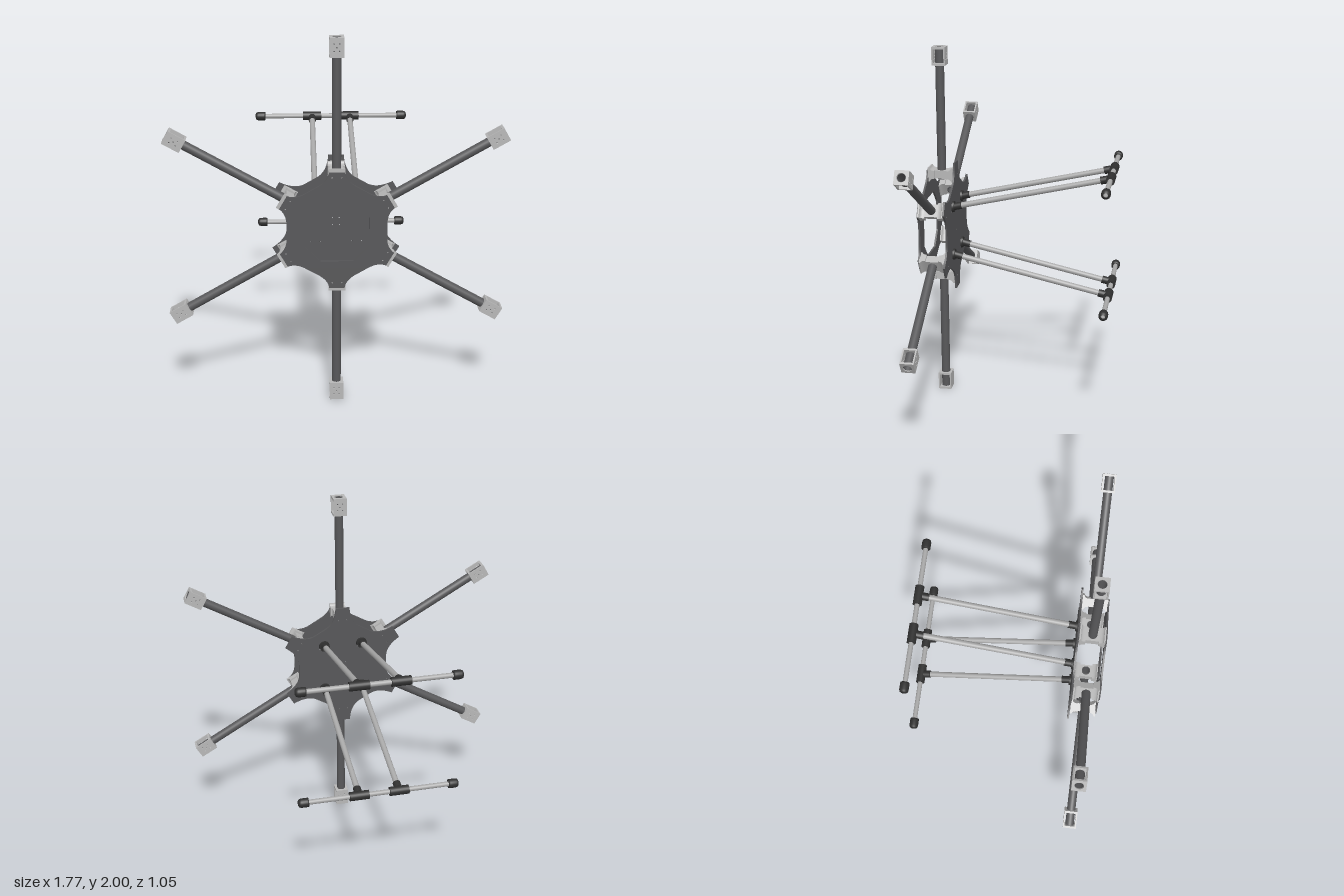
import * as THREE from 'three';

const mat = (color) => new THREE.MeshStandardMaterial({ color, side: THREE.DoubleSide });
const DARK = mat(0x58585a), BLACK = mat(0x303030), LIGHT = mat(0xb8b8b8), ROD = mat(0xa8a8a8);

function mesh(name, geometry, material, x = 0, y = 0, z = 0) {
  const m = new THREE.Mesh(geometry, material);
  m.name = name;
  m.position.set(x, y, z);
  return m;
}

const extrude = (shape, depth) =>
  new THREE.ExtrudeGeometry(shape, { depth, bevelEnabled: false, curveSegments: 12 }).translate(0, 0, -depth / 2);

const hole = (shape, x, y, r) => shape.holes.push(new THREE.Path().absarc(x, y, r, 0, Math.PI * 2, true));

function rectShape(w, h) {
  return new THREE.Shape([[-w, -h], [w, -h], [w, h], [-w, h]].map(([x, y]) => new THREE.Vector2(x / 2, y / 2)));
}

// Hollow tube along y, centred
function tube(outer, inner, length) {
  const h = length / 2;
  const pts = [[inner, -h], [outer, -h], [outer, -h], [outer, h], [outer, h], [inner, h], [inner, h], [inner, -h]];
  return new THREE.LatheGeometry(pts.map(([r, y]) => new THREE.Vector2(r, y)), 24);
}

// Six-sided plate with a tab at every arm and concave fillets beside the tabs
function plateShape(tip) {
  const s = new THREE.Shape();
  const up = new THREE.Vector2();
  for (let k = 0; k < 6; k++) {
    const at = (x, y) => {
      up.set(x, y).rotateAround(new THREE.Vector2(), (k * Math.PI) / 3);
      return [up.x, up.y];
    };
    if (k === 0) s.moveTo(...at(0.1, 0.242));
    else s.lineTo(...at(0.1, 0.242));
    s.quadraticCurveTo(...at(0.046, 0.272), ...at(0.04, tip));
    s.lineTo(...at(-0.04, tip));
    s.quadraticCurveTo(...at(-0.046, 0.272), ...at(-0.1, 0.242));
    // screw holes over the clamp
    for (const x of [-0.025, 0.025]) hole(s, ...at(x, 0.29), 0.004);
  }
  s.closePath();
  return s;
}

function makeBody() {
  const body = new THREE.Group();
  body.name = 'body';
  const front = plateShape(0.318);
  const a = 0.166, b = 0.085;
  front.holes.push(new THREE.Path([[a, -b], [b, -a], [-b, -a], [-a, -b], [-a, b], [-b, a], [b, a], [a, b]]
    .map(([x, y]) => new THREE.Vector2(x, y))));
  body.add(mesh('frontPlate', extrude(front, 0.01), DARK, 0, 0, 0.52));

  const back = plateShape(0.365);
  for (const x of [-1, 1]) for (const y of [-1, 1]) {
    hole(back, x * 0.018, y * 0.02, 0.004);
    hole(back, x * 0.085, y * 0.115, 0.004);
    hole(back, x * 0.135, y * 0.115, 0.004);
  }
  body.add(mesh('backPlate', extrude(back, 0.01), DARK, 0, 0, 0.37));
  return body;
}

// Clamp block with a bore, and concave feet against both plates
function makeClamp() {
  const clamp = new THREE.Group();
  clamp.name = 'armClamp';
  const core = rectShape(0.07, 0.138);
  hole(core, 0, 0, 0.023);
  clamp.add(mesh('clampBlock', extrude(core, 0.045).rotateX(-Math.PI / 2), LIGHT, 0, 0.295, 0));
  const foot = new THREE.Shape();
  foot.moveTo(-0.07, -0.04);
  foot.lineTo(-0.07, 0.04);
  foot.lineTo(-0.062, 0.04);
  foot.quadraticCurveTo(-0.058, 0.023, -0.035, 0.0225);
  foot.lineTo(-0.035, -0.0225);
  foot.quadraticCurveTo(-0.058, -0.023, -0.062, -0.04);
  foot.closePath();
  for (const side of [0, Math.PI]) {
    const g = extrude(foot, 0.088).rotateY(-Math.PI / 2).rotateY(side);
    clamp.add(mesh('clampFoot', g, LIGHT, 0, 0.295, 0));
  }
  return clamp;
}

// Open-sided motor mount: two drilled faces joined by two bored ends
function makeMount() {
  const mount = new THREE.Group();
  mount.name = 'motorMount';
  const face = rectShape(0.074, 0.1);
  for (const x of [-1, 1]) for (const y of [-1, 1]) hole(face, x * 0.014, y * 0.018, 0.004);
  hole(face, 0, 0, 0.004);
  for (const z of [-0.033, 0.033]) mount.add(mesh('mountFace', extrude(face, 0.008), LIGHT, 0, 0.95, z));
  const end = rectShape(0.074, 0.06);
  hole(end, 0, 0, 0.0235);
  for (const y of [0.906, 0.994])
    mount.add(mesh('mountEnd', extrude(end, 0.012).rotateX(-Math.PI / 2), LIGHT, 0, y, 0));
  return mount;
}

function makeArm(angle) {
  const arm = new THREE.Group();
  arm.name = 'arm';
  arm.add(mesh('armTube', tube(0.024, 0.021, 0.73), DARK, 0, 0.63, 0), makeClamp(), makeMount());
  arm.position.z = 0.447;
  arm.rotation.z = angle;
  return arm;
}

// Landing skid; side = 1 for the upper one, -1 for the lower one
function makeSkid(side) {
  const skid = new THREE.Group();
  skid.name = side > 0 ? 'upperSkid' : 'lowerSkid';
  const y = side * 0.332, z = -0.501;
  const lying = (g) => g.rotateZ(-Math.PI / 2);
  skid.add(mesh('skidTube', lying(tube(0.0135, 0.011, 0.84)), ROD, 0, y, z));

  const capProfile = [[0.0135, -0.028], [0.024, -0.028], [0.025, -0.02], [0.025, 0.012], [0.021, 0.023], [0.012, 0.028]]
    .map(([r, h]) => new THREE.Vector2(r, h));
  for (const s of [-1, 1]) {
    const cap = mesh('skidCap', new THREE.LatheGeometry(capProfile, 24), BLACK, s * 0.413, y, z);
    cap.rotation.z = -s * Math.PI / 2;
    skid.add(cap);

    // Leg assembly, laid along y and then turned from the plate to the skid
    const foot = new THREE.Vector3(s * 0.11, side * 0.138, 0.36);
    const top = new THREE.Vector3(s * 0.11, y, z);
    const length = foot.distanceTo(top);
    const leg = new THREE.Group();
    leg.name = 'leg';
    leg.add(
      mesh('legTube', new THREE.CylinderGeometry(0.0155, 0.0155, length - 0.04, 24), ROD, 0, length / 2, 0),
      mesh('legSocket', new THREE.CylinderGeometry(0.02, 0.02, 0.045, 24), BLACK, 0, 0.024, 0),
      mesh('teeStub', new THREE.CylinderGeometry(0.021, 0.021, 0.04, 24), BLACK, 0, length - 0.036, 0),
    );
    leg.position.copy(foot);
    leg.quaternion.setFromUnitVectors(new THREE.Vector3(0, 1, 0), top.clone().sub(foot).normalize());
    skid.add(leg);
    skid.add(mesh('teeSleeve', lying(tube(0.0245, 0.0135, 0.106)), BLACK, s * 0.11, y, z));
    skid.add(mesh('legFlange', new THREE.CylinderGeometry(0.03, 0.032, 0.012, 24).rotateX(-Math.PI / 2),
      BLACK, foot.x, foot.y, 0.36));
  }
  return skid;
}

export function createModel() {
  const model = new THREE.Group();
  model.name = 'multirotorFrame';
  model.add(makeBody());
  for (let k = 0; k < 6; k++) model.add(makeArm((k * Math.PI) / 3));
  model.add(makeSkid(1), makeSkid(-1));
  // lift the hub so that the lowest mount stands on the ground
  model.children.forEach((part) => { part.position.y += 1; });
  return model;
}
